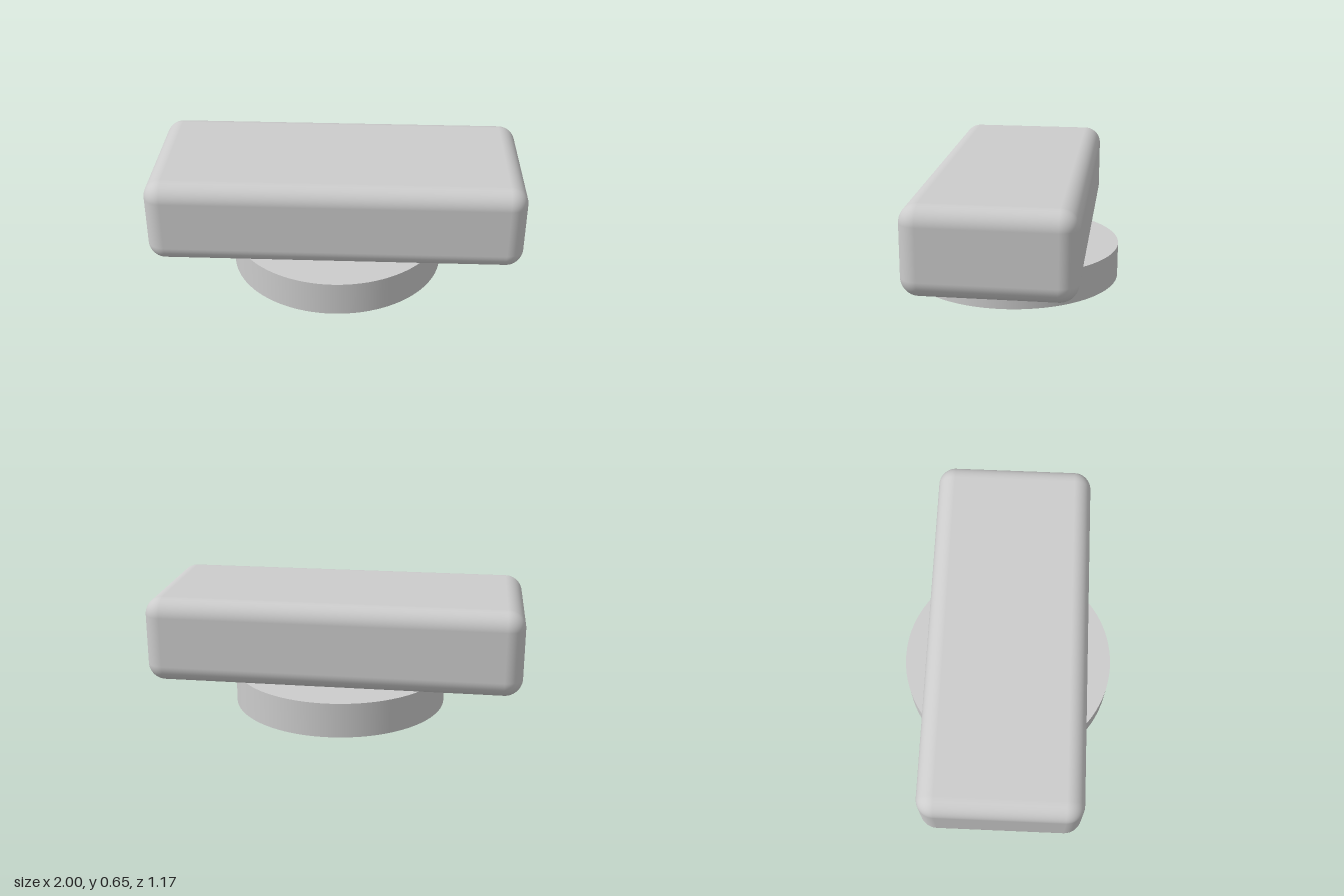
import * as THREE from 'three';
import { RoundedBoxGeometry } from 'three/addons/geometries/RoundedBoxGeometry.js';

const BASE_RADIUS = 0.585;
const BASE_HEIGHT = 0.187;
const BODY = { width: 2, height: 0.461, depth: 0.862, radius: 0.095 };

export function createModel() {
  const group = new THREE.Group();
  group.name = 'blockOnRoundBase';

  const lightGrey = new THREE.MeshStandardMaterial({ color: 0xcccccc });
  lightGrey.name = 'lightGrey';

  // Round disc the block stands on
  const base = new THREE.Mesh(
    new THREE.CylinderGeometry(BASE_RADIUS, BASE_RADIUS, BASE_HEIGHT, 96),
    lightGrey
  );
  base.name = 'roundBase';
  base.position.y = BASE_HEIGHT / 2;
  group.add(base);

  // Long block with rounded edges, resting on the disc
  const body = new THREE.Mesh(
    new RoundedBoxGeometry(BODY.width, BODY.height, BODY.depth, 8, BODY.radius),
    lightGrey
  );
  body.name = 'roundedBody';
  body.position.y = BASE_HEIGHT + BODY.height / 2;
  group.add(body);

  return group;
}
